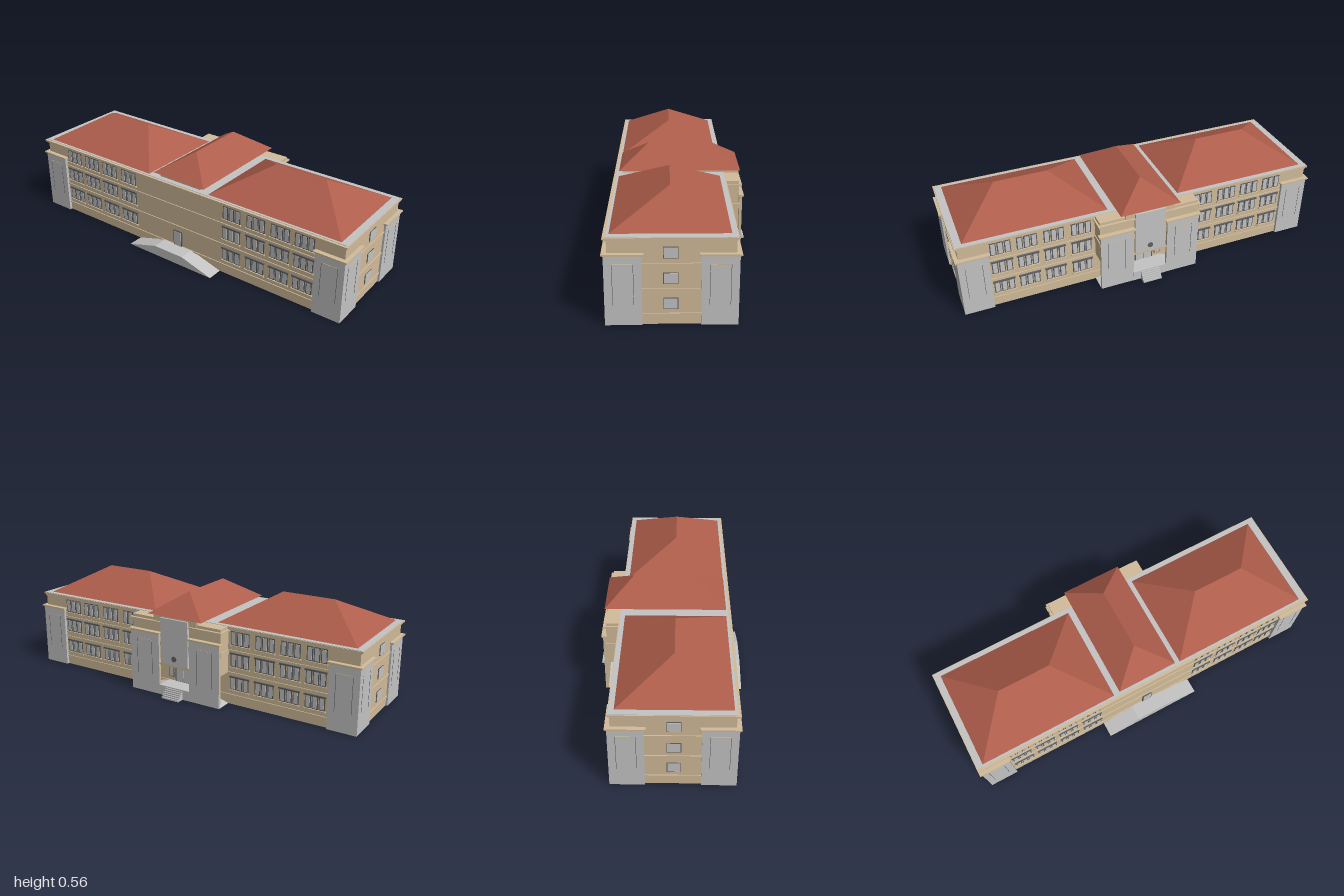
import * as THREE from 'three';
import { ConvexGeometry } from 'three/addons/geometries/ConvexGeometry.js';

const material = (name, color) => {
  const m = new THREE.MeshStandardMaterial({ color });
  m.name = name;
  return m;
};

export function createModel() {
  const root = new THREE.Group();
  root.name = 'building';
  const tan = material('tan plaster', 0xd2bc9a);
  const grey = material('light grey stone', 0xc4c4c4);
  const red = material('red roof', 0xae5d4b);
  const dark = material('dark grey frame', 0x5e6064);

  function group(name, parent = root) {
    const g = new THREE.Group();
    g.name = name;
    parent.add(g);
    return g;
  }
  function add(name, geo, mat, parent = root) {
    const m = new THREE.Mesh(geo, mat);
    m.name = name;
    parent.add(m);
    return m;
  }
  // box from its limits; limits may be given in either order
  function box(name, mat, [x0, x1], [y0, y1], [z0, z1], parent = root) {
    const geo = new THREE.BoxGeometry(Math.abs(x1 - x0), Math.abs(y1 - y0), Math.abs(z1 - z0));
    geo.translate((x0 + x1) / 2, (y0 + y1) / 2, (z0 + z1) / 2);
    return add(name, geo, mat, parent);
  }
  // convex solid from a base rectangle at y0 and a top rectangle or ridge at y1
  function taper(name, mat, bx, bz, tx, tz, y0, y1, parent = root) {
    const pts = [];
    for (const x of bx) for (const z of bz) pts.push(new THREE.Vector3(x, y0, z));
    for (const x of tx) for (const z of tz) pts.push(new THREE.Vector3(x, y1, z));
    return add(name, new ConvexGeometry(pts), mat, parent);
  }

  const EAST = 0.255, WEST = -0.305, END = 0.98;

  // main block, storey bands, cornice and flat roof
  box('mainBlock', tan, [WEST, EAST], [0, 0.41], [-END, END]);
  const bands = group('storeyBands');
  for (const [y0, y1] of [[0.047, 0.055], [0.169, 0.177], [0.29, 0.298]])
    box('band', tan, [WEST - 0.005, EAST + 0.005], [y0, y1], [-END - 0.005, END + 0.005], bands);
  box('corniceLower', tan, [WEST - 0.008, EAST + 0.004], [0.402, 0.412], [-END - 0.005, END + 0.005]);
  box('cornice', tan, [-0.322, 0.264], [0.411, 0.42], [-0.993, 0.993]);
  box('flatRoof', grey, [-0.308, 0.26], [0.419, 0.422], [-0.988, 0.988]);

  // hipped roofs
  taper('rearWingRoof', red, [-0.295, 0.235], [-0.955, -0.2], [-0.03], [-0.72, -0.435], 0.422, 0.56);
  taper('frontWingRoof', red, [-0.295, 0.235], [0.195, 0.95], [-0.03], [0.43, 0.715], 0.422, 0.56);
  box('centreRoofBase', tan, [-0.28, 0.335], [0.4, 0.44], [-0.135, 0.135]);
  taper('centreRoof', red, [-0.295, 0.345], [-0.168, 0.165], [-0.14, 0.195], [0], 0.44, 0.55);

  // corner towers with cap mouldings and inset panels
  for (const sz of [1, -1]) for (const [xa, xb, out] of [[-0.32, -0.155, -1], [0.105, 0.27, 1]]) {
    const t = group('cornerTower');
    const zi = sz * 0.835, zo = sz * 0.99;
    box('towerShaft', grey, [xa, xb], [0, 0.336], [zi, zo], t);
    box('towerCapLower', tan, [xa - 0.004, xb + 0.004], [0.334, 0.34], [zi - sz * 0.004, zo + sz * 0.004], t);
    box('towerCap', tan, [xa - 0.009, xb + 0.009], [0.339, 0.346], [zi - sz * 0.009, zo + sz * 0.01], t);
    const xc = (xa + xb) / 2, xo = out < 0 ? xa : xb, zc = sz * 0.913;
    box('endPanelLine', tan, [xc - 0.045, xc + 0.045], [0.293, 0.296], [zo, zo + sz * 0.002], t);
    box('sidePanelLine', tan, [xo, xo + out * 0.002], [0.293, 0.296], [zc - 0.042, zc + 0.042], t);
    for (const s of [-1, 1]) {
      box('endPanelEdge', dark, [xc + s * 0.045, xc + s * 0.047], [0.1, 0.293], [zo, zo + sz * 0.001], t);
      box('sidePanelEdge', dark, [xo, xo + out * 0.001], [0.1, 0.293], [zc + s * 0.042, zc + s * 0.044], t);
    }
  }

  // triple windows along both long walls
  const columns = [0.77, 0.635, 0.495, 0.35, -0.345, -0.487, -0.626, -0.765];
  const rows = [[0.082, 0.155], [0.207, 0.282], [0.324, 0.398]];
  for (const [wall, out] of [[EAST, 1], [WEST, -1]])
    for (const z of columns) rows.forEach(([y0, y1], r) => {
      const w = group('tripleWindow');
      for (const i of [-1, 0, 1]) {
        const c = z + i * 0.037;
        box('frame', dark, [wall, wall + out * 0.003], [y0, y1], [c - 0.016, c + 0.016], w);
        box('pane', grey, [wall, wall + out * 0.005], [y0 + 0.005, y1 - 0.005], [c - 0.011, c + 0.011], w);
      }
      box('sill', tan, [wall, wall + out * 0.009], [y0 - 0.008, y0], [z - 0.058, z + 0.058], w);
      if (r < 2) box('lintel', dark, [wall, wall + out * 0.008], [y1 - 0.006, y1 + 0.002], [z - 0.058, z + 0.058], w);
    });

  // single windows on the end walls
  for (const s of [1, -1]) for (const [y0, y1] of [[0.076, 0.131], [0.198, 0.253], [0.32, 0.375]]) {
    const w = group('endWindow');
    box('frame', dark, [-0.062, 0.004], [y0, y1], [s * END, s * (END + 0.003)], w);
    box('pane', grey, [-0.059, 0.001], [y0 + 0.003, y1 - 0.003], [s * END, s * (END + 0.005)], w);
  }

  // entrance portico: upper storeys carried over a drive-through
  const p = group('portico');
  box('upperBlock', tan, [EAST - 0.01, 0.33], [0.172, 0.42], [-0.275, 0.275], p);
  box('lowerBand', tan, [EAST, 0.338], [0.272, 0.298], [-0.28, 0.28], p);
  box('topBand', tan, [EAST, 0.344], [0.396, 0.405], [-0.285, 0.285], p);
  box('porticoBeam', tan, [0.32, 0.343], [0.168, 0.18], [-0.1, 0.1], p);
  box('facadePanel', grey, [0.33, 0.345], [0.18, 0.43], [-0.085, 0.085], p);
  const disc = add('medallion', new THREE.CylinderGeometry(0.015, 0.015, 0.004, 24), dark, p);
  disc.rotation.z = Math.PI / 2;
  disc.position.set(0.346, 0.215, 0);
  for (const s of [1, -1]) {
    const t = group('porticoTower', p);
    box('towerSlab', tan, [0.333, 0.346], [0, 0.336], [s * 0.095, s * 0.277], t);
    box('towerFace', grey, [0.346, 0.348], [0, 0.336], [s * 0.095, s * 0.277], t);
    box('towerCapLower', tan, [0.329, 0.352], [0.334, 0.34], [s * 0.091, s * 0.281], t);
    box('towerCap', tan, [0.327, 0.356], [0.339, 0.346], [s * 0.087, s * 0.286], t);
    box('panelLine', tan, [0.348, 0.35], [0.293, 0.296], [s * 0.14, s * 0.235], t);
    for (const z of [0.14, 0.235])
      box('panelEdge', dark, [0.348, 0.349], [0.1, 0.293], [s * z, s * (z + 0.002)], t);
    // small windows beside the door
    box('sideFrame', dark, [EAST, EAST + 0.003], [0.075, 0.148], [s * 0.062, s * 0.097], p);
    box('sidePane', grey, [EAST, EAST + 0.005], [0.079, 0.144], [s * 0.066, s * 0.093], p);
  }
  box('doorFrame', dark, [EAST, EAST + 0.004], [0.055, 0.147], [-0.052, 0.052], p);
  for (const s of [1, -1])
    box('doorLeaf', grey, [EAST, EAST + 0.006], [0.057, 0.14], [s * 0.002, s * 0.045], p);

  // ramps: one under the portico and one behind the building
  taper('porticoRamp', grey, [0.25, 0.335], [-0.278, 0.278], [0.25, 0.335], [-0.095, 0.095], 0, 0.055);
  taper('rearRamp', grey, [-0.39, -0.3], [-0.278, 0.278], [-0.39, -0.3], [-0.095, 0.09], 0, 0.055);
  box('rearDoorFrame', dark, [WEST, WEST - 0.006], [0.055, 0.145], [-0.028, 0.028]);
  box('rearDoor', grey, [WEST, WEST - 0.008], [0.055, 0.14], [-0.023, 0.023]);

  // entrance steps
  const steps = group('entranceSteps');
  box('landing', grey, [0.33, 0.349], [0, 0.055], [-0.095, 0.095], steps);
  for (let i = 0; i < 6; i++)
    box('step', grey, [0.34, 0.39 - i * 0.007], [i * 0.008, (i + 1) * 0.008], [-0.053, 0.053], steps);

  return root;
}
